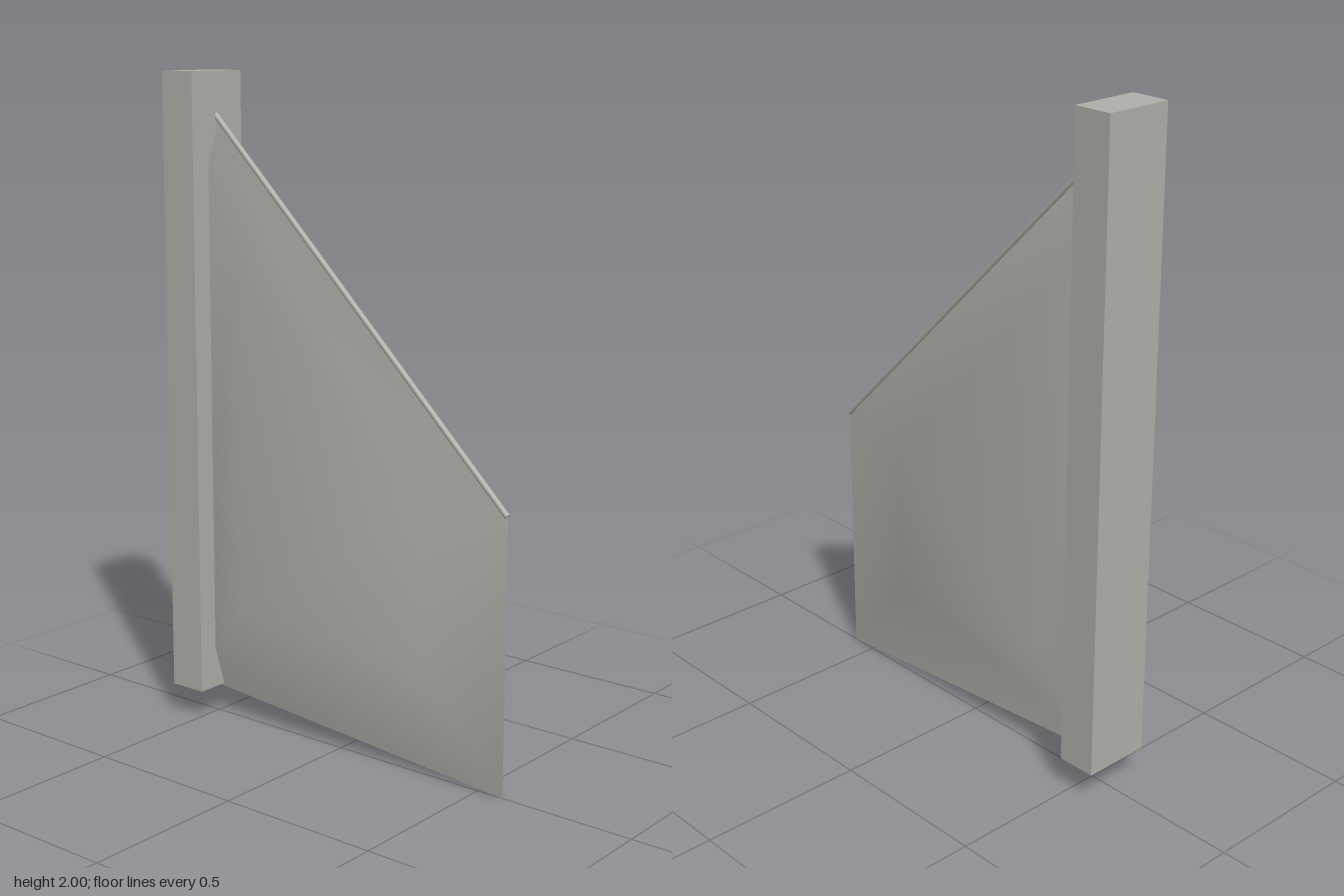
import * as THREE from 'three';

// Outline of the fin and of its raised inner panel: root bottom, tip bottom, tip top, root top
const rim = [[-0.595, 0.1, 0], [0.585, 0.005, 0], [0.585, 0.82, 0], [-0.595, 1.985, 0]];
const panel = [[-0.33, 0.38, 0.088], [0.31, 0.33, 0.035], [0.31, 0.78, 0.035], [-0.33, 1.43, 0.088]];

// One smooth face of the fin; side is +1 for the front, -1 for the back
function finSide(side) {
  const points = [...rim, ...panel].map(([x, y, z]) => [x, y, z * side]);
  const faces = [];
  const add = (a, b, c) => faces.push(...(side > 0 ? [a, b, c] : [a, c, b]));
  for (let i = 0; i < 4; i++) {
    const j = (i + 1) % 4;
    if (side > 0) {
      add(i, j, i + 4);
      add(j, j + 4, i + 4);
    } else {
      add(i, j, j + 4);
      add(i, j + 4, i + 4);
    }
  }
  add(4, 5, 6);
  add(4, 6, 7);
  const geometry = new THREE.BufferGeometry();
  geometry.setAttribute('position', new THREE.Float32BufferAttribute(points.flat(), 3));
  geometry.setIndex(faces);
  geometry.computeVertexNormals();
  return geometry;
}

export function createModel() {
  const model = new THREE.Group();
  model.name = 'fin';
  const grey = new THREE.MeshStandardMaterial({ color: 0xb0b0aa });
  grey.name = 'warm grey';

  const add = (name, geometry) => {
    const mesh = new THREE.Mesh(geometry, grey);
    mesh.name = name;
    model.add(mesh);
    return mesh;
  };

  // Upright post at the root
  add('post', new THREE.BoxGeometry(0.12, 1.9, 0.21)).position.set(-0.535, 1.05, 0);

  // Two bulged sides of the blade
  add('bladeFront', finSide(1));
  add('bladeBack', finSide(-1));

  // Thin rod along the sloping edge
  const start = new THREE.Vector3(-0.48, 1.872, 0);
  const end = new THREE.Vector3(0.583, 0.823, 0);
  const direction = end.clone().sub(start);
  const rod = add('edgeRod', new THREE.CylinderGeometry(0.009, 0.009, direction.length(), 8));
  rod.position.copy(start).lerp(end, 0.5);
  rod.quaternion.setFromUnitVectors(new THREE.Vector3(0, 1, 0), direction.normalize());

  return model;
}
